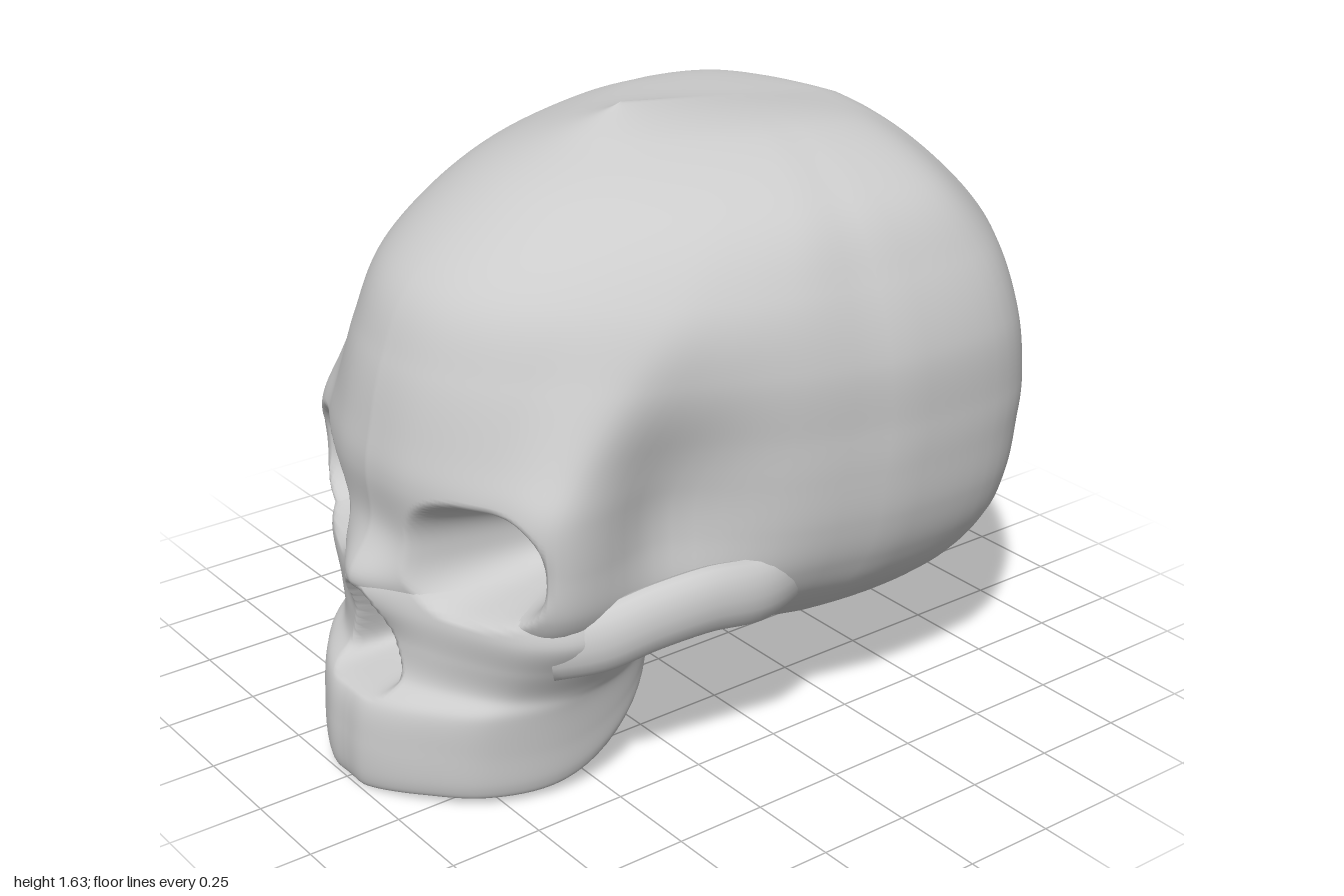
import * as THREE from 'three';
import { mergeVertices } from 'three/addons/utils/BufferGeometryUtils.js';

const material = new THREE.MeshStandardMaterial({ color: 0xcccccc, side: THREE.DoubleSide });
const { smoothstep, lerp } = THREE.MathUtils;
const bell = (v, centre, width) => Math.exp(-(((v - centre) / width) ** 2));

// Smoothly interpolate one row of ring settings, t in 0..1
function ringAt(rows, t) {
  const f = t * (rows.length - 1);
  const i = Math.min(Math.floor(f), rows.length - 2);
  const u = f - i;
  const row = (k) => rows[Math.max(0, Math.min(rows.length - 1, k))];
  return rows[i].map((p1, c) => {
    const p0 = row(i - 1)[c], p2 = row(i + 1)[c], p3 = row(i + 2)[c];
    return p1 + 0.5 * u * (p2 - p0 + u * (2 * p0 - 5 * p1 + 4 * p2 - p3 + u * (3 * (p1 - p2) + p3 - p0)));
  });
}

// Carve temples, nose bridge, eye sockets and nose opening
function sculpt(p) {
  p.x *= 1 - 0.18 * bell(p.z, 0.36, 0.18) * bell(p.y, 0.74, 0.29);
  if (p.z < 0.45) return;
  p.z += 0.085 * bell(p.x, 0, 0.12) * bell(p.y, 0.55, 0.1);

  const dx = Math.abs(p.x) - 0.325;
  const dy = p.y - 0.665 - 0.08 * dx;
  const d = Math.hypot(
    Math.abs(dx / 0.19) ** 1.3,
    Math.abs(dy / (dy > 0 ? 0.165 : 0.145)) ** 1.3
  ) ** (1 / 1.3);
  const socket = 1 - smoothstep(d, 0.45, 1.05);
  if (p.z > 0.55) p.z = lerp(p.z, 0.55, socket);

  const halfWidth = lerp(0.13, 0.05, THREE.MathUtils.clamp((p.y - 0.27) / 0.26, 0, 1));
  const n = (Math.abs(p.x / halfWidth) ** 5 + Math.abs((p.y - 0.4) / 0.135) ** 5) ** 0.2;
  const nose = 1 - smoothstep(n, 0.72, 1.05);
  if (p.z > 0.79) p.z = lerp(p.z, 0.79, nose);
}

// Loft tilted rings. Row: front z, front y, back z, back y, front half width, back half width,
// sag, and how far the front of the outline turns into an ellipse
function loft(rows, outline, rings, sides) {
  const curve = new THREE.CatmullRomCurve3(outline.map(([x, s]) => new THREE.Vector3(x, s, 0)));
  // Half outline from front to back, denser at the front, mirrored
  const plan = [];
  for (let j = 0; j < sides; j++) {
    const v = j / sides;
    const half = v <= 0.5 ? 2 * v : 2 - 2 * v;
    const h = half * (0.45 + 0.55 * half);
    const q = curve.getPointAt(h);
    const middle = j === 0 || 2 * j === sides;
    plan.push({
      sign: v <= 0.5 ? 1 : -1,
      x: middle ? 0 : q.x, s: q.y,
      roundX: middle ? 0 : Math.sin(Math.PI * h), roundS: (1 - Math.cos(Math.PI * h)) / 2,
      front: 1 - smoothstep(q.y, 0.3, 0.7),
    });
  }
  const positions = [], index = [];
  const p = new THREE.Vector3();
  for (let i = 0; i <= rings; i++) {
    const [zf, yf, zb, yb, wf, wb, sag, round = 0] = ringAt(rows, i / rings);
    plan.forEach((q, j) => {
      const x = q.sign * lerp(q.x, q.roundX, round * q.front);
      const s = lerp(q.s, q.roundS, round * q.front);
      p.set(
        x * lerp(wf, wb, smoothstep(s, 0.15, 0.6)),
        lerp(yf, yb, s) - sag * Math.sin(Math.PI * Math.max(s, 0) ** 1.4),
        lerp(zf, zb, s)
      );
      sculpt(p);
      positions.push(p.x, p.y, p.z);
      if (i < rings) {
        const a = i * sides + j, b = i * sides + ((j + 1) % sides);
        index.push(a, a + sides, b + sides, a, b + sides, b);
      }
    });
  }
  let geometry = new THREE.BufferGeometry();
  geometry.setAttribute('position', new THREE.Float32BufferAttribute(positions, 3));
  geometry.setIndex(index);
  geometry = mergeVertices(geometry, 1e-4);
  geometry.computeVertexNormals();
  return geometry;
}

function addMesh(parent, name, geometry) {
  const mesh = new THREE.Mesh(geometry, material);
  mesh.name = name;
  parent.add(mesh);
}

export function createModel() {
  const skull = new THREE.Group();
  skull.name = 'skull';

  // Braincase and upper face, crown to base
  const craniumRings = [
    [0.12, 1.632, -0.5, 1.555, 0, 0, 0, 1],
    [0.28, 1.575, -0.6, 1.53, 0.26, 0.3, -0.025, 1],
    [0.52, 1.47, -0.72, 1.44, 0.47, 0.55, 0, 0.9],
    [0.75, 1.3, -0.88, 1.27, 0.57, 0.67, 0, 0.8],
    [0.84, 1.12, -0.95, 1.08, 0.58, 0.735, 0, 0.5],
    [0.885, 0.94, -0.99, 0.89, 0.57, 0.74, 0, 0.2],
    [0.9, 0.83, -0.985, 0.77, 0.57, 0.735, 0, 0.05],
    [0.885, 0.7, -0.97, 0.64, 0.57, 0.72, 0, 0],
    [0.88, 0.57, -0.945, 0.52, 0.555, 0.68, 0, 0],
    [0.84, 0.48, -0.865, 0.4, 0.49, 0.6, 0.01, 0],
    [0.75, 0.41, -0.78, 0.27, 0.36, 0.43, 0.035, 0],
    [0.5, 0.37, -0.72, 0.175, 0.18, 0.25, 0.05, 0],
    [0.3, 0.365, -0.66, 0.15, 0, 0, 0.05, 0],
  ];
  const craniumOutline = [
    [0, 0], [0.28, 0.01], [0.62, 0.05], [0.96, 0.115], [1, 0.235], [0.99, 0.39],
    [0.98, 0.53], [1, 0.6], [0.97, 0.78], [0.69, 0.905], [0.33, 0.97], [0, 1],
  ];
  addMesh(skull, 'cranium', loft(craniumRings, craniumOutline, 140, 200));

  // Upper jaw, flaring into the cheeks above, with a rim rising to the back and a hollow palate
  const jawRings = [
    [0.865, 0.57, 0.34, 0.55, 0.52, 0.52, 0],
    [0.885, 0.49, 0.3, 0.48, 0.545, 0.545, 0],
    [0.89, 0.4, 0.25, 0.42, 0.51, 0.5, 0.01],
    [0.91, 0.31, 0.22, 0.4, 0.455, 0.45, 0.04],
    [0.98, 0.25, 0.21, 0.39, 0.43, 0.43, 0.06],
    [1.0, 0.14, 0.2, 0.38, 0.41, 0.415, 0.11],
    [1.0, 0.04, 0.2, 0.37, 0.4, 0.405, 0.15],
    [0.98, 0.003, 0.22, 0.36, 0.38, 0.385, 0.16],
    [0.93, 0.04, 0.26, 0.37, 0.34, 0.34, 0.14],
    [0.88, 0.13, 0.31, 0.37, 0.28, 0.28, 0.08],
    [0.8, 0.21, 0.4, 0.37, 0.16, 0.16, 0.03],
    [0.74, 0.24, 0.46, 0.35, 0, 0, 0.01],
  ];
  const jawOutline = [
    [0, 0], [0.2, 0.005], [0.55, 0.1], [0.86, 0.26], [1, 0.5], [0.95, 0.78], [0.6, 0.96], [0, 1],
  ];
  addMesh(skull, 'upperJaw', loft(jawRings, jawOutline, 90, 140));

  // Cheek arches, bridging cheek to braincase with a small gap behind
  for (const side of [1, -1]) {
    const path = new THREE.CatmullRomCurve3([
      [0.44, -0.045, 0.66], [0.515, -0.03, 0.56], [0.56, -0.008, 0.44],
      [0.59, 0.002, 0.3], [0.595, -0.008, 0.14], [0.53, -0.005, -0.06],
    ].map(([x, y, z]) => new THREE.Vector3(side * x, y, z)));
    const arch = new THREE.TubeGeometry(path, 32, 0.052, 16);
    arch.scale(1, 1.7, 1);
    arch.translate(0, 0.535, 0);
    arch.computeVertexNormals();
    addMesh(skull, side > 0 ? 'leftCheekArch' : 'rightCheekArch', arch);
  }
  return skull;
}
